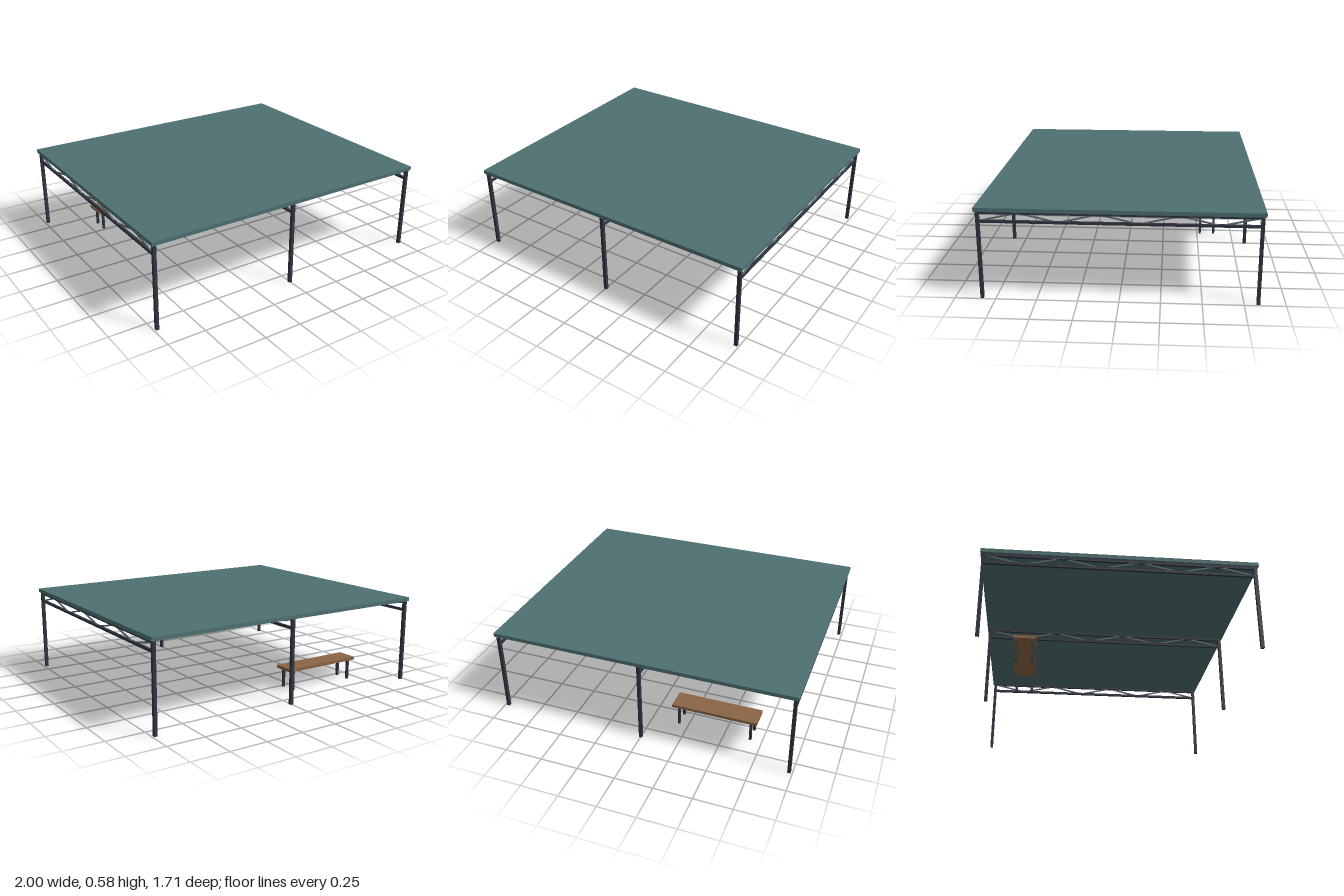
import * as THREE from 'three';

export function createModel() {
  const mat = (name, color) => {
    const m = new THREE.MeshStandardMaterial({ color });
    m.name = name;
    return m;
  };
  const teal = mat('teal roofing', 0x4e7072);
  const steel = mat('dark steel', 0x2f3540);
  const grey = mat('grey steel', 0x5f6b70);
  const wood = mat('wood', 0x8a6546);

  const model = new THREE.Group();
  model.name = 'shelter';

  const box = (parent, name, material, [w, h, d], [x, y, z]) => {
    const mesh = new THREE.Mesh(new THREE.BoxGeometry(w, h, d), material);
    mesh.name = name;
    mesh.position.set(x, y, z);
    parent.add(mesh);
    return mesh;
  };

  const roofTop = 0.583, roofBottom = 0.558, frameZ = 0.835;

  // Flat roof slab
  box(model, 'roof', teal, [2, roofTop - roofBottom, 1.71], [0, (roofTop + roofBottom) / 2, 0]);

  // Three frames: a pair of posts joined by a zigzag truss
  const panels = 7, low = 0.495, high = 0.55;
  for (const x of [-0.979, 0, 0.979]) {
    const frame = new THREE.Group();
    frame.name = 'frame';
    frame.position.x = x;
    model.add(frame);

    for (const s of [-1, 1]) {
      box(frame, 'post', steel, [0.021, roofBottom, 0.021], [0, roofBottom / 2, s * frameZ]);
    }
    box(frame, 'upperChord', steel, [0.016, 0.016, 2 * frameZ], [0, high, 0]);
    box(frame, 'lowerChord', steel, [0.016, 0.016, 2 * frameZ], [0, low, 0]);

    // Diagonals alternate between the lower and upper chords
    const node = (i) => new THREE.Vector3(0, i % 2 ? high : low, frameZ - (2 * frameZ * i) / panels);
    for (let i = 0; i < panels; i++) {
      const a = node(i), b = node(i + 1);
      const web = box(frame, 'diagonal', grey, [0.009, 0.009, a.distanceTo(b)], [0, 0, 0]);
      web.position.addVectors(a, b).multiplyScalar(0.5);
      web.rotation.x = Math.atan2(b.y - a.y, a.z - b.z);
    }
  }

  // Bench near the back on the right-hand side
  const bench = new THREE.Group();
  bench.name = 'bench';
  bench.position.set(-0.429, 0, -0.571);
  model.add(bench);
  box(bench, 'seat', wood, [0.57, 0.02, 0.143], [0, 0.145, 0]);
  for (const sx of [-1, 1]) {
    for (const sz of [-1, 1]) {
      box(bench, 'benchLeg', steel, [0.016, 0.135, 0.016], [sx * 0.243, 0.0675, sz * 0.05]);
    }
  }

  return model;
}
